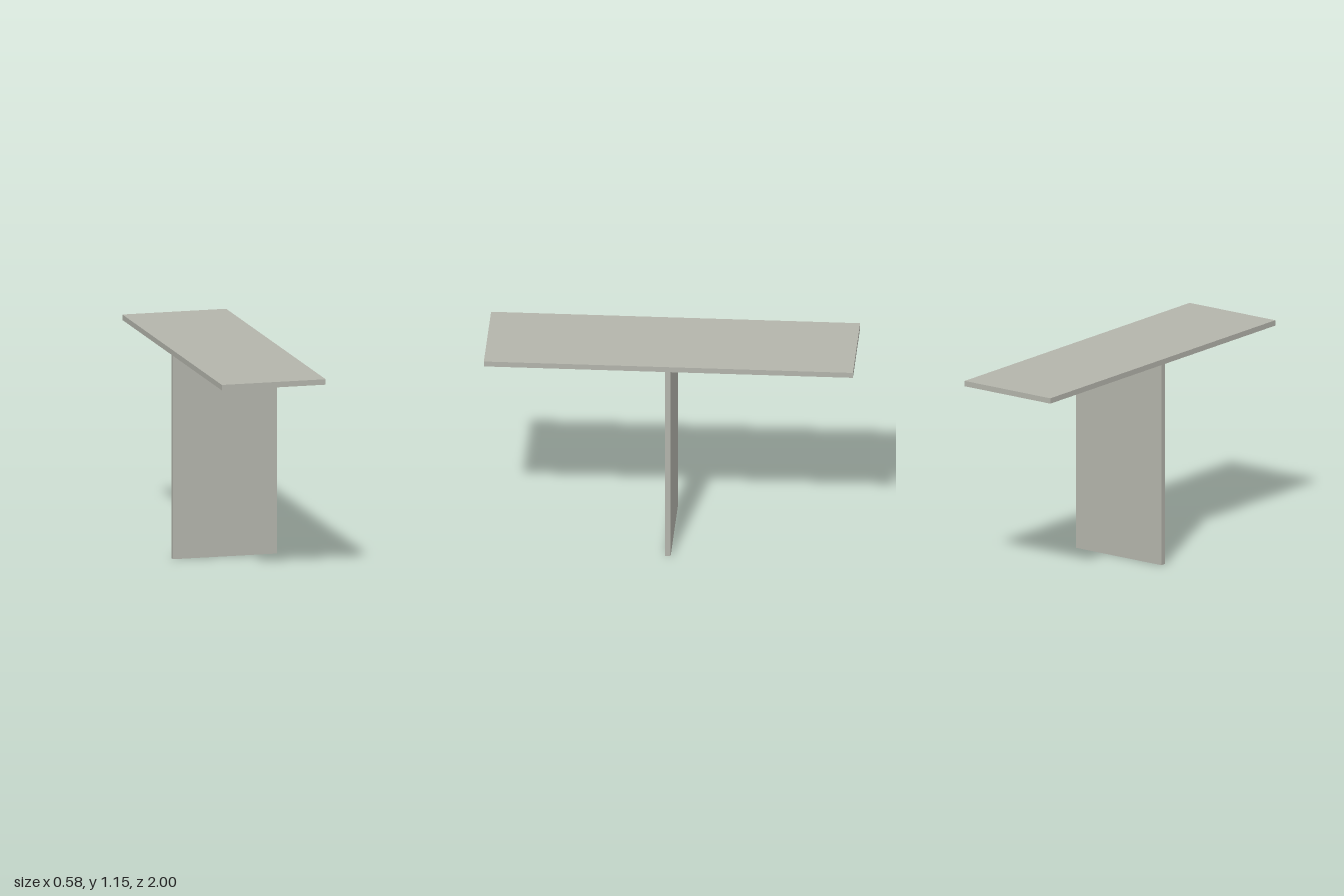
import * as THREE from 'three';

export function createModel() {
  const model = new THREE.Group();
  model.name = 'table';

  const paleGrey = new THREE.MeshStandardMaterial({ color: 0xb3b4ab });
  paleGrey.name = 'pale grey';

  const width = 0.583, thickness = 0.03, legHeight = 1.122;

  const addPanel = (name, height, depth, y, z) => {
    const panel = new THREE.Mesh(new THREE.BoxGeometry(width, height, depth), paleGrey);
    panel.name = name;
    panel.position.set(0, y, z);
    model.add(panel);
  };

  // Long flat top
  addPanel('tableTop', thickness, 2, legHeight + thickness / 2, 0);
  // Single upright panel under the middle
  addPanel('supportPanel', legHeight, thickness, legHeight / 2, 0.003);

  return model;
}
